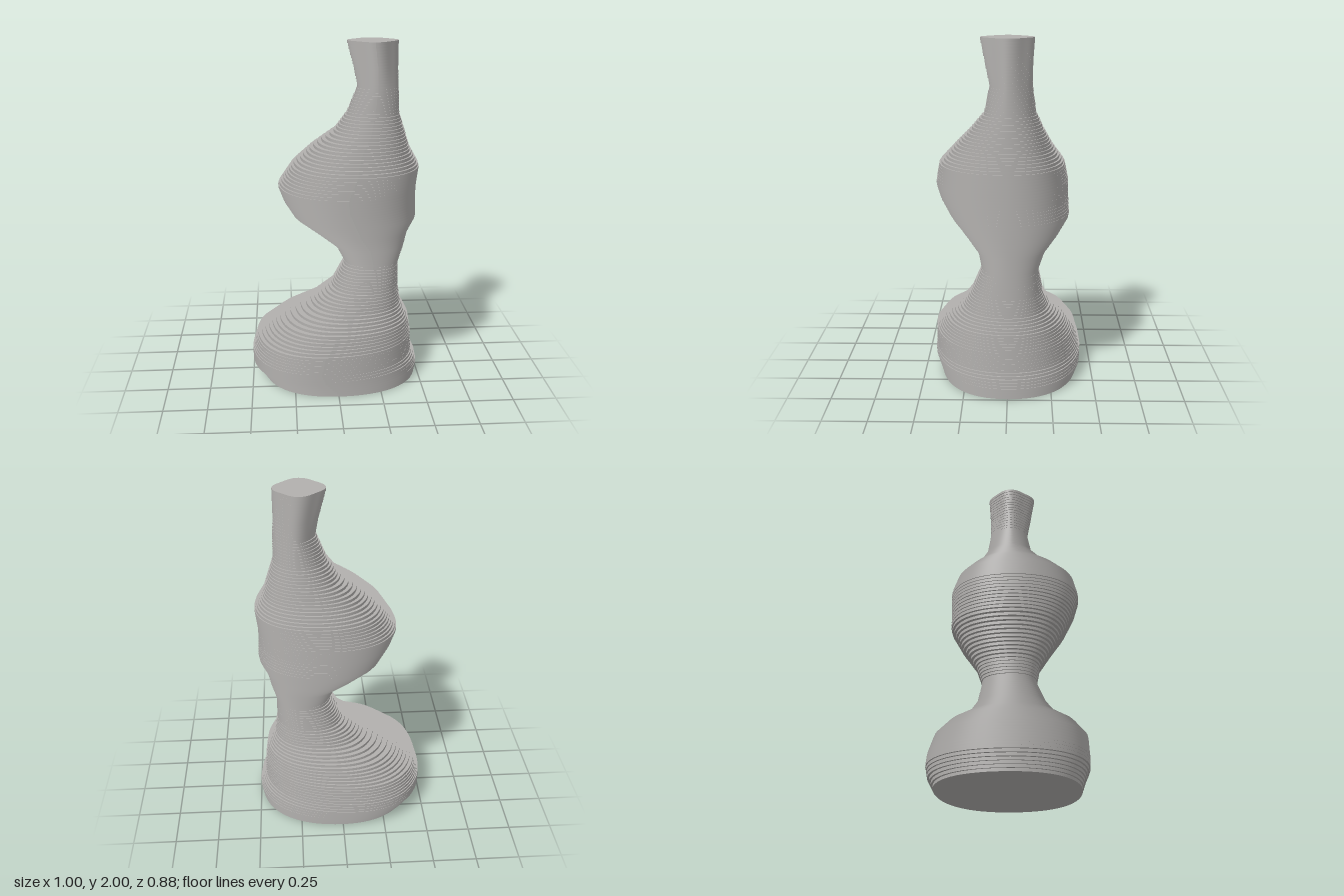
import * as THREE from 'three';

// Outline of the stack by height: y, left x, right x, front z, back depth, x of the widest depth
const PROFILE = [
  [0.00, -0.43, 0.49, 0.40, 0.41, 0.00],
  [0.05, -0.46, 0.50, 0.42, 0.435, -0.04],
  [0.10, -0.50, 0.49, 0.445, 0.44, -0.08],
  [0.15, -0.50, 0.465, 0.445, 0.43, -0.10],
  [0.25, -0.47, 0.46, 0.44, 0.40, -0.08],
  [0.35, -0.34, 0.445, 0.38, 0.34, 0.00],
  [0.45, -0.15, 0.395, 0.27, 0.24, 0.10],
  [0.55, -0.02, 0.38, 0.21, 0.20, 0.17],
  [0.70, 0.06, 0.38, 0.15, 0.175, 0.22],
  [0.80, 0.01, 0.41, 0.17, 0.21, 0.20],
  [0.90, -0.11, 0.43, 0.25, 0.29, 0.14],
  [1.00, -0.24, 0.475, 0.33, 0.35, 0.10],
  [1.10, -0.30, 0.47, 0.39, 0.345, 0.06],
  [1.18, -0.33, 0.47, 0.415, 0.345, 0.05],
  [1.30, -0.25, 0.485, 0.39, 0.32, 0.10],
  [1.40, -0.14, 0.43, 0.30, 0.25, 0.13],
  [1.50, 0.00, 0.40, 0.21, 0.20, 0.19],
  [1.60, 0.07, 0.37, 0.13, 0.155, 0.22],
  [1.75, 0.13, 0.365, 0.10, 0.135, 0.24],
  [1.85, 0.11, 0.36, 0.12, 0.135, 0.235],
  [2.00, 0.07, 0.36, 0.15, 0.145, 0.215],
];
const LAYERS = 120;
const SEGMENTS = 64;

// Interpolated outline row at a height
function outlineAt(y) {
  let i = 0;
  while (i < PROFILE.length - 2 && y > PROFILE[i + 1][0]) i++;
  const a = PROFILE[i], b = PROFILE[i + 1];
  const t = (y - a[0]) / (b[0] - a[0]);
  return a.map((v, k) => THREE.MathUtils.lerp(v, b[k], t));
}

// One flat slab: a disc stretched separately in each quadrant
function layerGeometry(y, height) {
  const [, left, right, front, back, mid] = outlineAt(y);
  // Plump near the foot, turning to a rounded diamond at the top
  const pinch = THREE.MathUtils.lerp(-0.04, 0.13, THREE.MathUtils.smoothstep(y, 1.4, 1.95));
  const geo = new THREE.CylinderGeometry(1, 1, height, SEGMENTS);
  const pos = geo.attributes.position;
  for (let i = 0; i < pos.count; i++) {
    const x = pos.getX(i), z = pos.getZ(i);
    const r = 1 - pinch * (2 * x * z) ** 2;
    pos.setX(i, mid + x * r * (x > 0 ? right - mid : mid - left));
    pos.setZ(i, z * r * (z > 0 ? front : back));
  }
  geo.computeVertexNormals();
  return geo;
}

export function createModel() {
  const model = new THREE.Group();
  model.name = 'layeredSculpture';
  const stone = new THREE.MeshStandardMaterial({ color: 0xb2b0ae });
  stone.name = 'warm grey';

  // Stack of thin slabs from the floor up
  const height = 2 / LAYERS;
  for (let i = 0; i < LAYERS; i++) {
    const layer = new THREE.Mesh(layerGeometry(2 * i / (LAYERS - 1), height), stone);
    layer.name = `layer${i + 1}`;
    layer.position.y = (i + 0.5) * height;
    model.add(layer);
  }
  return model;
}
